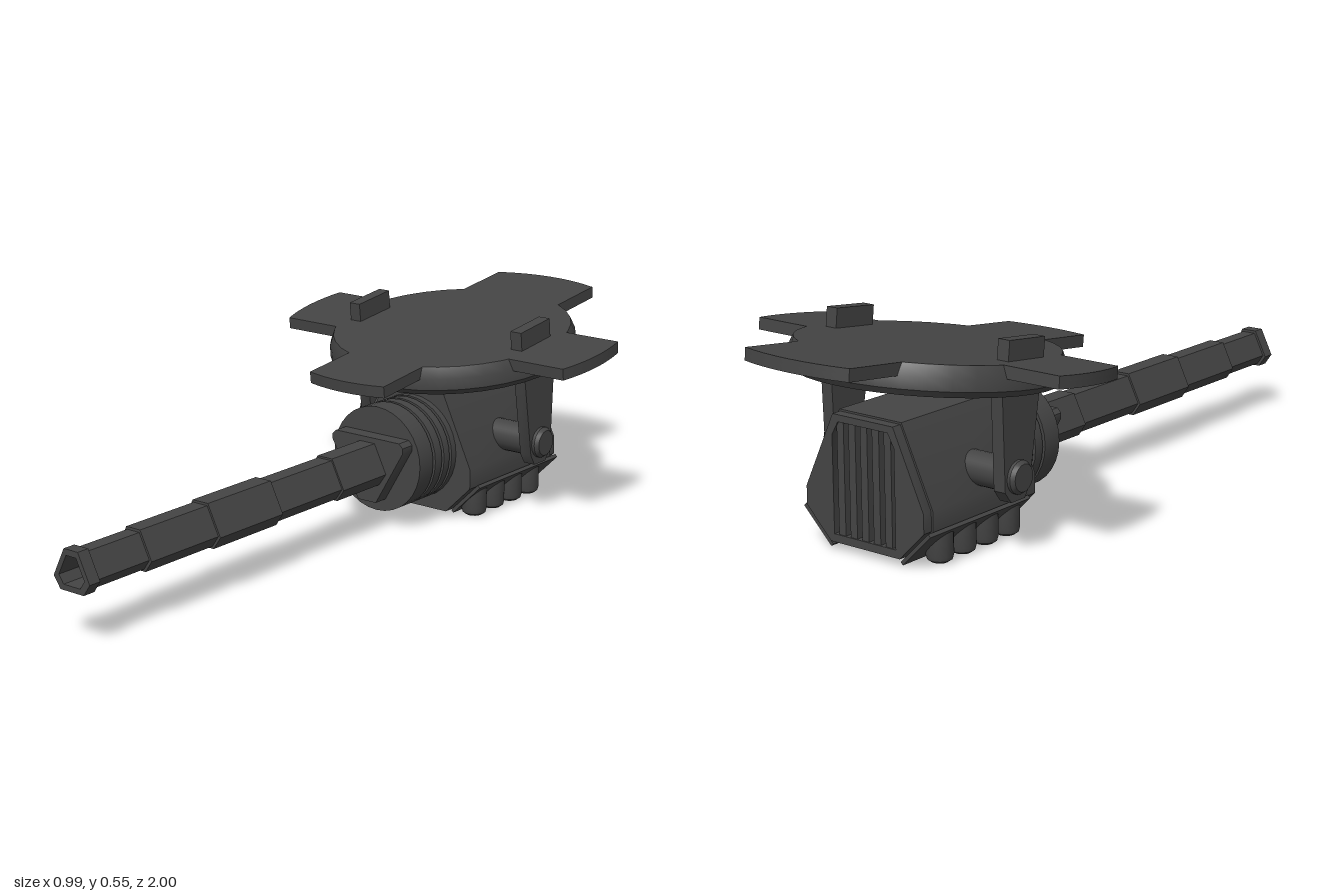
import * as THREE from 'three';
import { toCreasedNormals } from 'three/addons/utils/BufferGeometryUtils.js';

export function createModel() {
  const root = new THREE.Group();
  const mat = new THREE.MeshStandardMaterial({ color: 0x444444 });

  const add = (name, geo, parent = root, x = 0, y = 0, z = 0) => {
    const m = new THREE.Mesh(toCreasedNormals(geo, 0.6), mat);
    m.name = name;
    m.position.set(x, y, z);
    parent.add(m);
    return m;
  };
  const poly = (pts) => new THREE.Shape(pts.map(([x, y]) => new THREE.Vector2(x, y)));
  // right-half outline, listed bottom to top, mirrored into a closed shape
  const mirrored = (half) => [...half, ...half.slice().reverse().map(([x, y]) => [-x, y])];
  const extrude = (shape, depth, bevel = 0) => new THREE.ExtrudeGeometry(shape, {
    depth: depth - 2 * bevel, bevelEnabled: bevel > 0, bevelThickness: bevel,
    bevelSize: bevel, bevelOffset: -bevel, bevelSegments: 1, curveSegments: 10,
  }).translate(0, 0, bevel);
  const lathe = (pts, seg) => new THREE.LatheGeometry(pts.map(([x, y]) => new THREE.Vector2(x, y)), seg);

  // housing: tapered six-sided block with a recessed rear
  const bodyHalf = [[0.115, 0.02], [0.195, 0.1], [0.195, 0.155], [0.1, 0.358]];
  add('housing', extrude(poly(mirrored(bodyHalf)), 0.395), root, 0, 0, -0.725);
  const rear = poly(mirrored([[0.112, 0.024], [0.19, 0.103], [0.19, 0.153], [0.097, 0.353]]));
  rear.holes.push(new THREE.Path(mirrored([[0.1, 0.045], [0.1, 0.3], [0.08, 0.335]])
    .map(([x, y]) => new THREE.Vector2(x, y))));
  add('rearFrame', extrude(rear, 0.03), root, 0, 0, -0.753);
  for (let i = -2; i <= 2; i++) {
    add('rearGrilleBar', new THREE.BoxGeometry(0.022, 0.29, 0.025), root, i * 0.038, 0.19, -0.737);
  }
  for (const x of [-0.067, -0.022, 0.022, 0.067]) {
    add('bottomGrilleBar', new THREE.BoxGeometry(0.025, 0.016, 0.33), root, x, 0.022, -0.55);
  }

  // canister rows and the slanted plates above them
  const canister = lathe([[0, 0], [0.022, 0.002], [0.032, 0.009], [0.035, 0.02], [0.035, 0.09], [0, 0.09]], 16);
  for (const s of [-1, 1]) {
    for (let i = 0; i < 4; i++) {
      add('canister', canister.clone(), root, s * 0.16, 0.003, -0.402 - i * 0.086);
    }
    const plate = add('slantedPlate', new THREE.BoxGeometry(0.125, 0.01, 0.385), root, s * 0.158, 0.056, -0.555);
    plate.rotation.z = s * Math.PI / 4;
  }

  // ribbed neck
  const ribs = [[0, -0.335]];
  for (const [a, b] of [[-0.335, -0.31], [-0.3, -0.275], [-0.265, -0.235], [-0.225, -0.165]]) {
    ribs.push([0.133, a], [0.147, a], [0.147, b], [0.133, b]);
  }
  ribs.push([0, -0.165]);
  add('ribbedNeck', lathe(ribs, 32).rotateX(Math.PI / 2), root, 0, 0.19, 0);
  const collarHalf = [[0.03, 0.08], [0.12, 0.235], [0.12, 0.25], [0.108, 0.262]];
  add('barrelCollar', extrude(poly(mirrored(collarHalf)), 0.05), root, 0, 0, -0.172);

  // stepped barrel of six-sided sections with a hollow muzzle
  const hex = (k) => mirrored([[0.04, -0.052], [0.062, -0.02], [0.024, 0.057]])
    .map(([x, y]) => [x * k, y * k]);
  const sections = [[-0.125, 0.06, 1.04], [0.05, 0.32, 0.95], [0.31, 0.55, 1.06],
    [0.54, 0.79, 0.95], [0.78, 0.93, 0.83]];
  for (const [z0, z1, k] of sections) {
    add('barrelSection', extrude(poly(hex(k)), z1 - z0), root, 0, 0.188, z0);
  }
  const hollow = (k, hole) => {
    const s = poly(hex(k));
    s.holes.push(new THREE.Path(hex(hole).map(([x, y]) => new THREE.Vector2(x, y))));
    return s;
  };
  add('barrelEnd', extrude(hollow(0.83, 0.68), 0.05), root, 0, 0.188, 0.925);
  add('muzzle', extrude(hollow(0.96, 0.68), 0.035), root, 0, 0.188, 0.965);

  // axle and the two hanging brackets
  const axle = lathe([[0, -0.313], [0.035, -0.313], [0.043, -0.303], [0.043, 0.303], [0.035, 0.313], [0, 0.313]], 20);
  add('axle', axle.rotateZ(Math.PI / 2), root, 0, 0.21, -0.523);
  const bracket = poly([[-0.497, 0.15], [-0.55, 0.15], [-0.573, 0.18], [-0.583, 0.46], [-0.43, 0.46], [-0.478, 0.18]]);
  for (const s of [-1, 1]) {
    add('bracket', extrude(bracket, 0.035).rotateY(-Math.PI / 2), root, s * 0.277 + 0.0175, 0, 0);
  }

  // tilted top plate
  const top = new THREE.Group();
  top.name = 'topPlate';
  top.position.set(0, 0.4975, -0.505);
  top.rotation.x = 0.117;
  root.add(top);
  add('disc', lathe([[0, -0.045], [0.305, -0.045], [0.305, -0.078], [0.332, -0.078],
    [0.345, -0.062], [0.345, -0.03], [0.333, 0], [0, 0]], 36), top);
  for (const s of [-1, 1]) {
    add('bracketTab', new THREE.BoxGeometry(0.035, 0.075, 0.138), top, s * 0.277, 0.014, 0.015);
  }

  // fins: outline bounded by an arc, with two panels recessed below
  const finOutline = (a0, a1, r) => {
    const pts = [[0.26, a0]];
    for (let i = 0; i <= 8; i++) {
      const a = a0 + (a1 - a0) * i / 8;
      pts.push([Math.sqrt(r * r - a * a), a]);
    }
    pts.push([0.26, a1]);
    return poly(pts);
  };
  const fin = (a0, a1, r, turn) => {
    const g = new THREE.Group();
    g.name = 'fin';
    g.rotation.y = turn;
    top.add(g);
    add('finSkin', extrude(finOutline(a0, a1, r), 0.014).rotateX(Math.PI / 2), g);
    const rim = finOutline(a0, a1, r);
    const mid = (a0 + a1) / 2;
    for (const [b0, b1] of [[a0 + 0.015, mid - 0.007], [mid + 0.007, a1 - 0.015]]) {
      rim.holes.push(new THREE.Path([[0.355, b0], [0.355, b1], [0.45, b1], [0.45, b0]]
        .map(([x, y]) => new THREE.Vector2(x, y))));
    }
    add('finRim', extrude(rim, 0.018).rotateX(Math.PI / 2), g, 0, -0.014, 0);
  };
  fin(-0.1, 0.15, 0.493, 0);
  fin(-0.15, 0.1, 0.493, Math.PI);
  fin(-0.125, 0.125, 0.493, -Math.PI / 2);
  fin(-0.165, 0.165, 0.497, Math.PI / 2);
  // small block under the front fin
  add('frontCatch', new THREE.BoxGeometry(0.085, 0.012, 0.1), top, 0, -0.036, 0.41);

  return root;
}
